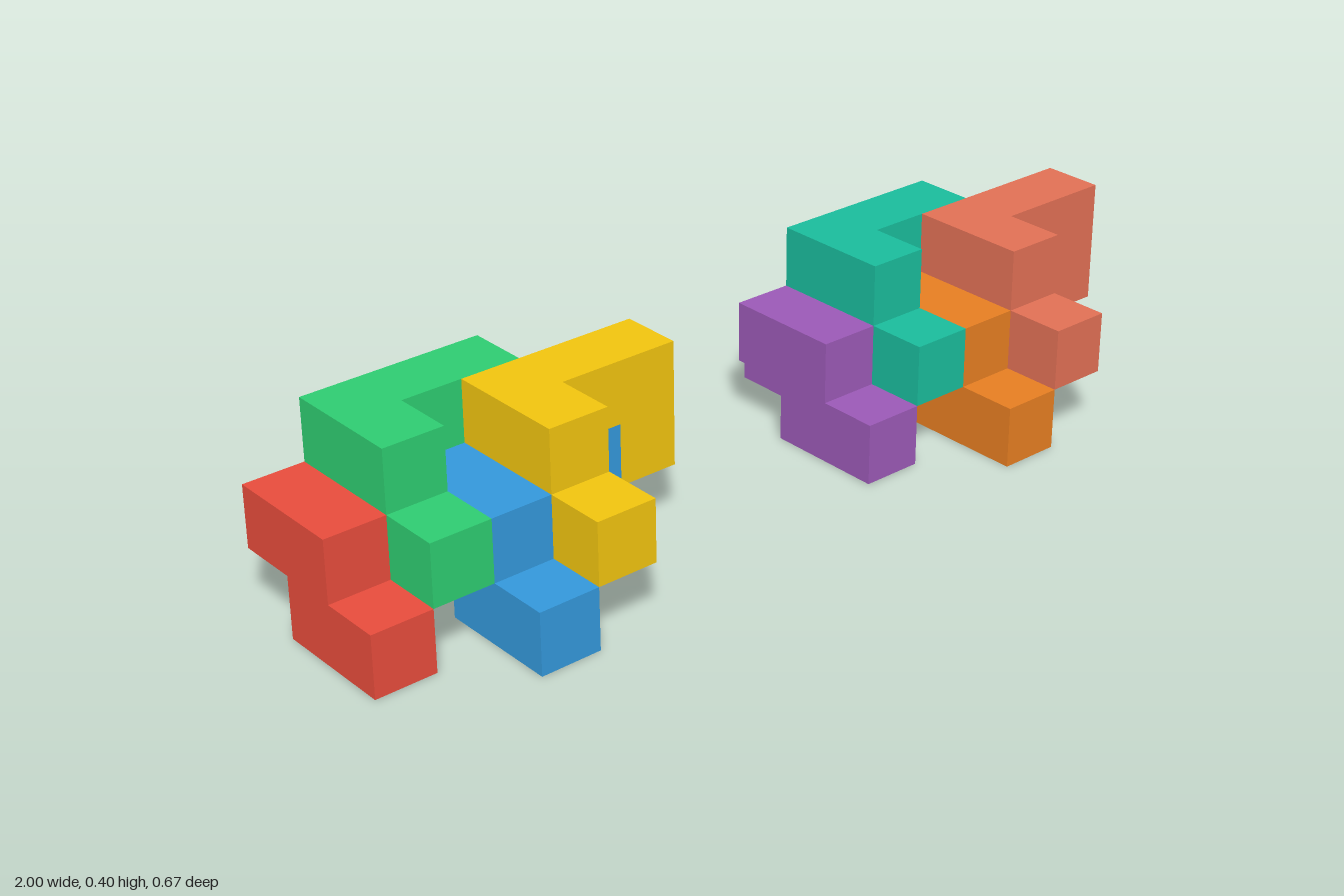
import * as THREE from 'three';
import { mergeGeometries } from 'three/addons/utils/BufferGeometryUtils.js';

const U = 2 / 15; // edge of one cube cell

// Cells [x, y, z] of the interlocking block that every piece repeats
const CELLS = [
  [0, 0, 3], [0, 0, 2],             // front foot
  [0, 1, 2], [0, 1, 1],             // raised arm
  [1, 1, 1], [2, 1, 1],             // raised bridge
  [2, 0, 1], [2, 0, 0], [1, 0, 0],  // rear foot
];

// Outer skin of the block: one square for each cell side without a neighbour
function blockGeometry() {
  const filled = new Set(CELLS.map(String));
  const faces = [];
  const forward = new THREE.Vector3(0, 0, 1);
  const sides = [[1, 0, 0], [-1, 0, 0], [0, 1, 0], [0, -1, 0], [0, 0, 1], [0, 0, -1]];
  for (const cell of CELLS) {
    for (const side of sides) {
      if (filled.has(String(cell.map((c, i) => c + side[i])))) continue;
      const normal = new THREE.Vector3(...side);
      const centre = new THREE.Vector3(...cell).addScalar(0.5).addScaledVector(normal, 0.5);
      const face = new THREE.PlaneGeometry(U, U);
      face.applyQuaternion(new THREE.Quaternion().setFromUnitVectors(forward, normal));
      face.translate(centre.x * U, centre.y * U, centre.z * U);
      faces.push(face);
    }
  }
  return mergeGeometries(faces);
}

// Cell offset of each piece inside a cluster
const PLACES = [
  ['lowerBackBlock', 0, 0, 0],
  ['upperBackBlock', 1, 1, 0],
  ['lowerFrontBlock', 2, 0, 1],
  ['upperFrontBlock', 3, 1, 1],
];

const CLUSTERS = [
  { name: 'rightCluster', x: -1, colors: [0xe74c3c, 0x2ecc71, 0x3498db, 0xf1c40f] },
  { name: 'leftCluster', x: 0.2, colors: [0x9b59b6, 0x1abc9c, 0xe67e22, 0xe17055] },
];

export function createModel() {
  const model = new THREE.Group();
  model.name = 'interlockingBlocks';
  const geometry = blockGeometry();

  for (const { name, x, colors } of CLUSTERS) {
    const cluster = new THREE.Group();
    cluster.name = name;
    cluster.position.set(x, 0, -2.5 * U);
    PLACES.forEach(([part, i, j, k], n) => {
      const block = new THREE.Mesh(geometry, new THREE.MeshStandardMaterial({ color: colors[n] }));
      block.name = part;
      block.position.set(i * U, j * U, k * U);
      cluster.add(block);
    });
    model.add(cluster);
  }
  return model;
}
